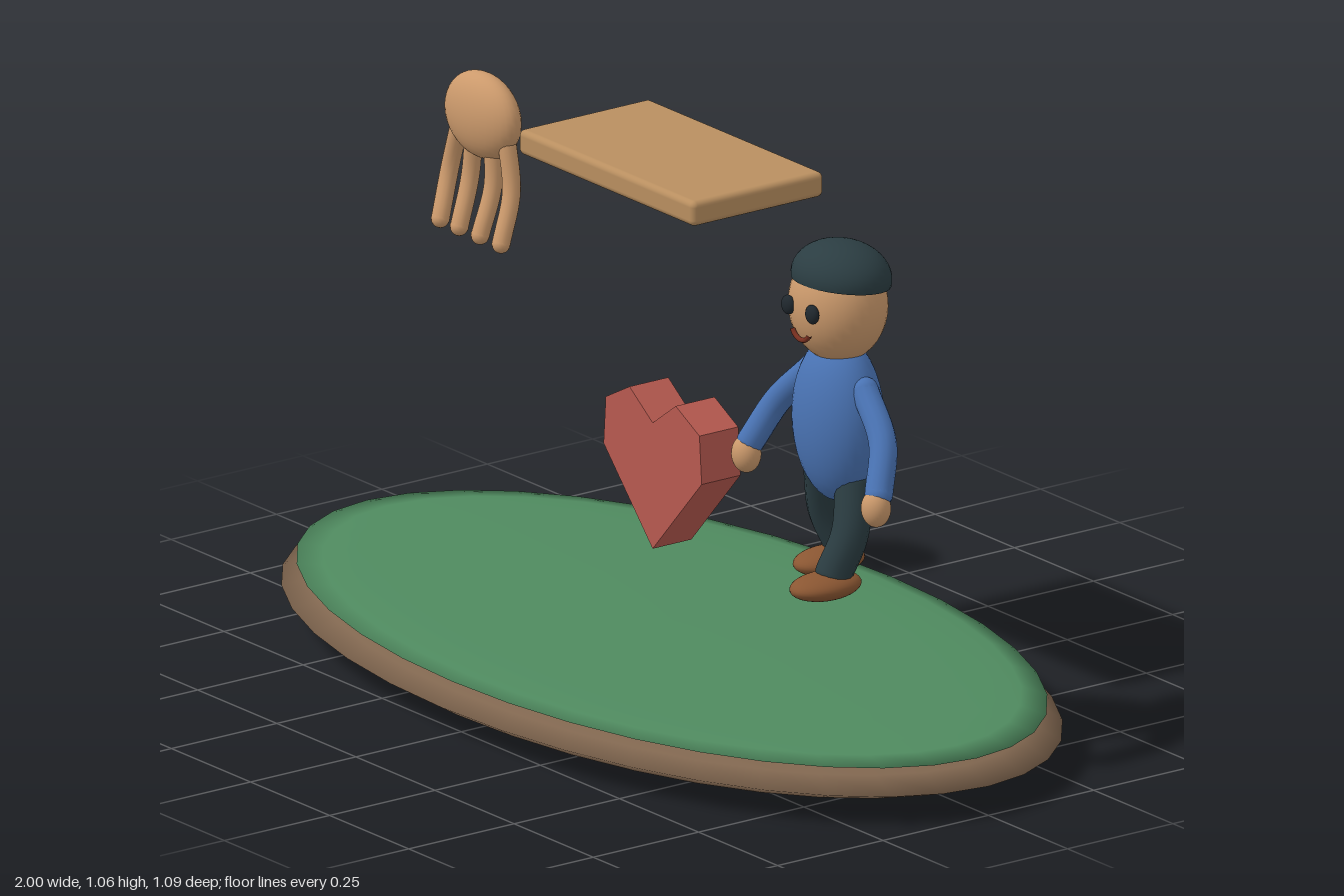
import * as THREE from 'three';
import { RoundedBoxGeometry } from 'three/addons/geometries/RoundedBoxGeometry.js';

const paint = (color) => new THREE.MeshStandardMaterial({ color, roughness: 0.8 });
const MAT = {
  earth: paint(0x80664f), grass: paint(0x4f8a5f), wood: paint(0xb98f60),
  heart: paint(0xb85a50), skin: paint(0xcc9a6c), shirt: paint(0x4a74b5),
  dark: paint(0x2b3d42), shoe: paint(0x8a5632), eye: paint(0x20282e), mouth: paint(0x7a3020),
};

function add(parent, name, geometry, material, x = 0, y = 0, z = 0) {
  const mesh = new THREE.Mesh(geometry, material);
  mesh.name = name;
  mesh.position.set(x, y, z);
  parent.add(mesh);
  return mesh;
}

// Sphere stretched to three radii
function ellipsoid(parent, name, material, [x, y, z], [rx, ry, rz]) {
  const mesh = add(parent, name, new THREE.SphereGeometry(1, 32, 20), material, x, y, z);
  mesh.scale.set(rx, ry, rz);
  return mesh;
}

// Curved tube with rounded ends
function limb(parent, name, material, points, radius) {
  const group = new THREE.Group();
  group.name = name;
  const pts = points.map((p) => new THREE.Vector3(...p));
  const curve = new THREE.CatmullRomCurve3(pts);
  add(group, name + 'Tube', new THREE.TubeGeometry(curve, 20, radius, 14), material);
  for (const p of [pts[0], pts[pts.length - 1]]) {
    add(group, name + 'End', new THREE.SphereGeometry(radius, 14, 10), material, p.x, p.y, p.z);
  }
  parent.add(group);
}

// Oval disc with a thin rim, turned from a half profile [radius, height]
function ovalDisc(parent, name, material, y, rx, rz, half) {
  const lower = [[0, -1], [0.35, -0.95], [0.68, -0.8], [0.85, -0.6], [0.93, -0.4], [1, 0]];
  const upper = lower.slice(0, -1).reverse().map(([r, h]) => [r, -h]);
  const profile = [...lower, ...upper].map(([r, h]) => new THREE.Vector2(r, h));
  const mesh = add(parent, name, new THREE.LatheGeometry(profile, 36), material, 0, y, 0);
  mesh.scale.set(rx, half, rz);
}

function createHand() {
  const hand = new THREE.Group();
  hand.name = 'hand';
  ellipsoid(hand, 'palm', MAT.skin, [0, 0, 0], [0.105, 0.085, 0.047]);
  // Four fingers hanging down and curling forward
  [[-0.072, -0.098, -0.082], [-0.028, -0.034, -0.022], [0.028, 0.038, 0.044], [0.075, 0.096, 0.11]]
    .forEach(([top, mid, tip], i) => {
      limb(hand, 'finger' + (i + 1), MAT.skin,
        [[top, -0.03, 0], [mid, -0.13, 0.005], [tip, -0.222, 0.04]], 0.018);
    });
  hand.position.set(-0.597, 0.975, 0);
  return hand;
}

function createHeart() {
  const half = [[0.155, 0.445], [0.148, 0.54], [0.073, 0.58]];
  const outline = [[0, 0.275], ...half, [0, 0.527],
    ...half.slice().reverse().map(([x, y]) => [-x, y])];
  const shape = new THREE.Shape(outline.map(([x, y]) => new THREE.Vector2(x, y)));
  const geometry = new THREE.ExtrudeGeometry(shape, { depth: 0.092, bevelEnabled: false });
  geometry.translate(0, 0, -0.046);
  const heart = new THREE.Mesh(geometry, MAT.heart);
  heart.name = 'heart';
  return heart;
}

function createFigure() {
  const figure = new THREE.Group();
  figure.name = 'figure';
  ellipsoid(figure, 'torso', MAT.shirt, [0, 0.67, 0], [0.105, 0.165, 0.078]);
  ellipsoid(figure, 'head', MAT.skin, [0, 0.898, 0], [0.102, 0.113, 0.092]);

  // Cap: a closed dome tipped slightly back
  const dome = new THREE.Group();
  dome.name = 'cap';
  add(dome, 'capDome', new THREE.SphereGeometry(1, 32, 12, 0, Math.PI * 2, 0, Math.PI * 0.55), MAT.dark);
  const under = add(dome, 'capUnderside', new THREE.CircleGeometry(0.985, 32), MAT.dark, 0, -0.15, 0);
  under.rotation.x = Math.PI / 2;
  dome.position.set(0, 0.952, -0.008);
  dome.scale.set(0.105, 0.07, 0.092);
  dome.rotation.x = -0.1;
  figure.add(dome);

  const smile = add(figure, 'mouth', new THREE.TorusGeometry(0.03, 0.005, 8, 16, Math.PI * 0.7),
    MAT.mouth, 0, 0.872, 0.088);
  smile.rotation.z = Math.PI * 1.15;

  for (const s of [-1, 1]) {
    const side = s > 0 ? 'left' : 'right';
    ellipsoid(figure, side + 'Eye', MAT.eye, [s * 0.038, 0.903, 0.09], [0.017, 0.019, 0.011]);

    limb(figure, side + 'Arm', MAT.shirt,
      [[s * 0.085, 0.745, 0], [s * 0.165, 0.665, 0.018], [s * 0.202, 0.58, 0.055]], 0.027);
    ellipsoid(figure, side + 'Palm', MAT.skin, [s * 0.205, 0.555, 0.064], [0.03, 0.037, 0.028]);

    // Walking stride: left foot forward, right foot back
    const ankle = s > 0 ? 0.055 : -0.058;
    const foot = s > 0 ? 0.075 : -0.023;
    limb(figure, side + 'Leg', MAT.dark,
      [[s * 0.05, 0.55, 0], [s * 0.07, 0.46, ankle * 0.45], [s * 0.06, 0.385, ankle]], 0.036);
    ellipsoid(figure, side + 'Shoe', MAT.shoe, [s * 0.06, 0.364, foot], [0.051, 0.026, 0.077]);
  }
  figure.position.x = 0.525;
  return figure;
}

export function createModel() {
  const model = new THREE.Group();
  model.name = 'floatingIslandScene';
  ovalDisc(model, 'earthBase', MAT.earth, 0.058, 1, 0.547, 0.058);
  ovalDisc(model, 'grassTop', MAT.grass, 0.105, 0.965, 0.522, 0.018);
  add(model, 'woodenBoard', new RoundedBoxGeometry(0.555, 0.05, 0.312, 3, 0.012), MAT.wood, -0.003, 1.037, 0);
  model.add(createHand(), createHeart(), createFigure());
  return model;
}
